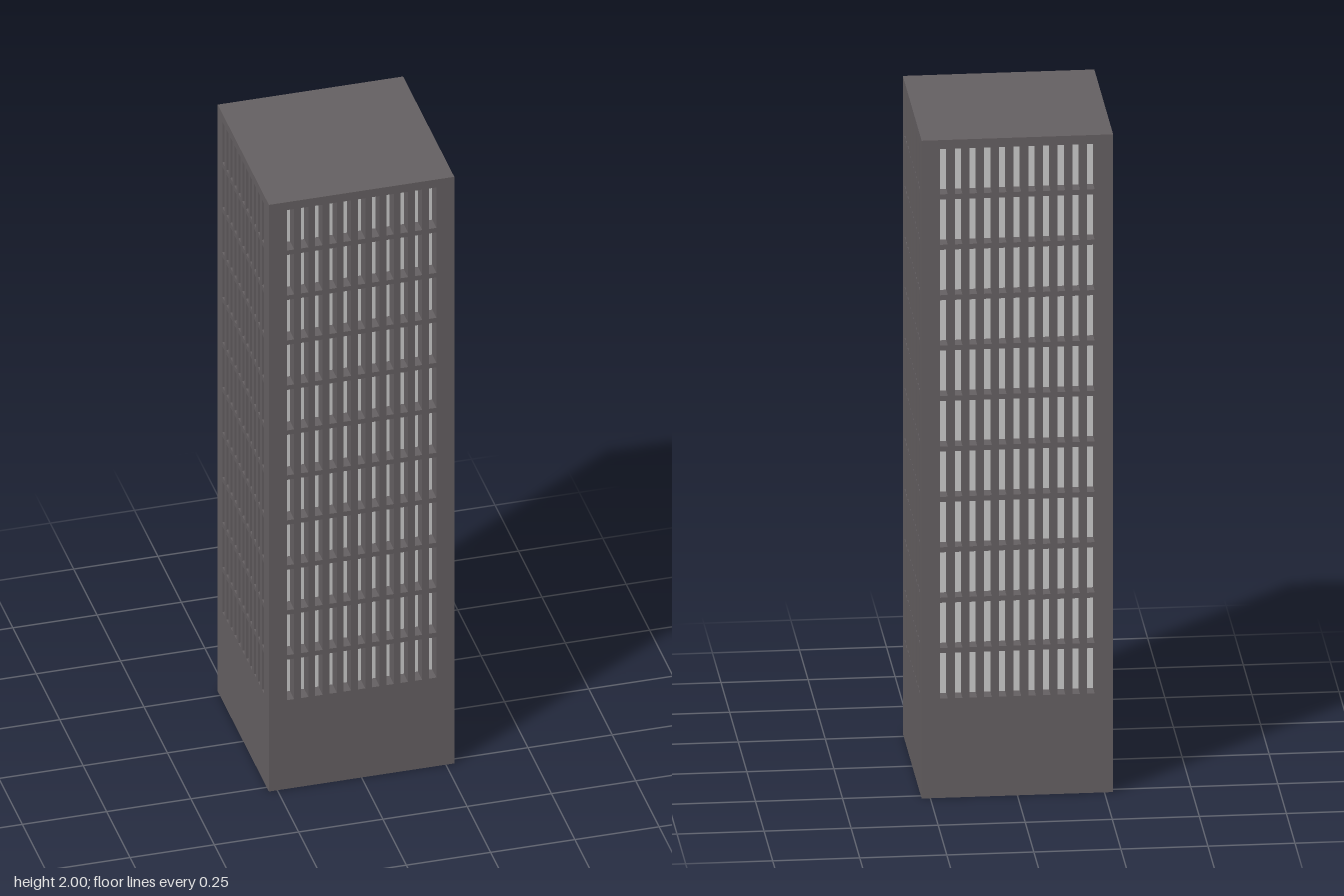
import * as THREE from 'three';

const W = 0.55, D = 0.546, H = 2;             // tower size
const WALL = 0.045;                           // depth of the window recesses
const COLS = 11, ROWS = 11;
const WIN_W = 0.022, WIN_H = 0.138;
const PITCH_X = 0.0422, PITCH_Y = 0.1533, FIRST_Y = 0.302;

const concrete = new THREE.MeshStandardMaterial({ color: 0x656062 });
const glass = new THREE.MeshStandardMaterial({ color: 0xcccccc });

function rectangle(path, x0, y0, x1, y1) {
  path.moveTo(x0, y0);
  path.lineTo(x1, y0);
  path.lineTo(x1, y1);
  path.lineTo(x0, y1);
  path.closePath();
  return path;
}

// Wall pierced by the window grid; outer face at z = 0, rear edges mitred inward
function facadeGeometry(width) {
  const shape = rectangle(new THREE.Shape(), -width / 2, 0, width / 2, H);
  for (let c = 0; c < COLS; c++) {
    for (let r = 0; r < ROWS; r++) {
      const x = (c - (COLS - 1) / 2) * PITCH_X - WIN_W / 2;
      const y = FIRST_Y + r * PITCH_Y;
      shape.holes.push(rectangle(new THREE.Path(), x, y, x + WIN_W, y + WIN_H));
    }
  }
  const geo = new THREE.ExtrudeGeometry(shape, { depth: WALL, bevelEnabled: false });
  geo.translate(0, 0, -WALL);
  const p = geo.attributes.position;
  for (let i = 0; i < p.count; i++) {
    if (p.getZ(i) > -WALL / 2) continue;
    const x = p.getX(i), y = p.getY(i);
    if (Math.abs(x) > width / 2 - 0.001) p.setX(i, x - Math.sign(x) * WALL);
    if (y < 0.001) p.setY(i, 0.02);
    if (y > H - 0.001) p.setY(i, H - 0.02);
  }
  geo.computeVertexNormals();
  return geo;
}

export function createModel() {
  const model = new THREE.Group();
  model.name = 'officeTower';

  const add = (name, geo, mat) => {
    const mesh = new THREE.Mesh(geo, mat);
    mesh.name = name;
    model.add(mesh);
    return mesh;
  };

  // Four window walls
  ['frontWall', 'leftWall', 'backWall', 'rightWall'].forEach((name, i) => {
    const [width, offset] = i % 2 ? [D, W / 2] : [W, D / 2];
    const angle = i * Math.PI / 2;
    const wall = add(name, facadeGeometry(width), concrete);
    wall.rotation.y = angle;
    wall.position.set(Math.sin(angle) * offset, 0, Math.cos(angle) * offset);
  });

  // Roof and underside
  add('roof', new THREE.PlaneGeometry(W, D).rotateX(-Math.PI / 2).translate(0, H, 0), concrete);
  add('underside', new THREE.PlaneGeometry(W, D).rotateX(Math.PI / 2), concrete);

  // Pale glazing behind the openings
  const core = new THREE.BoxGeometry(W - 2 * WALL, 1.72, D - 2 * WALL);
  add('glazing', core.translate(0, 1.135, 0), glass);

  return model;
}
